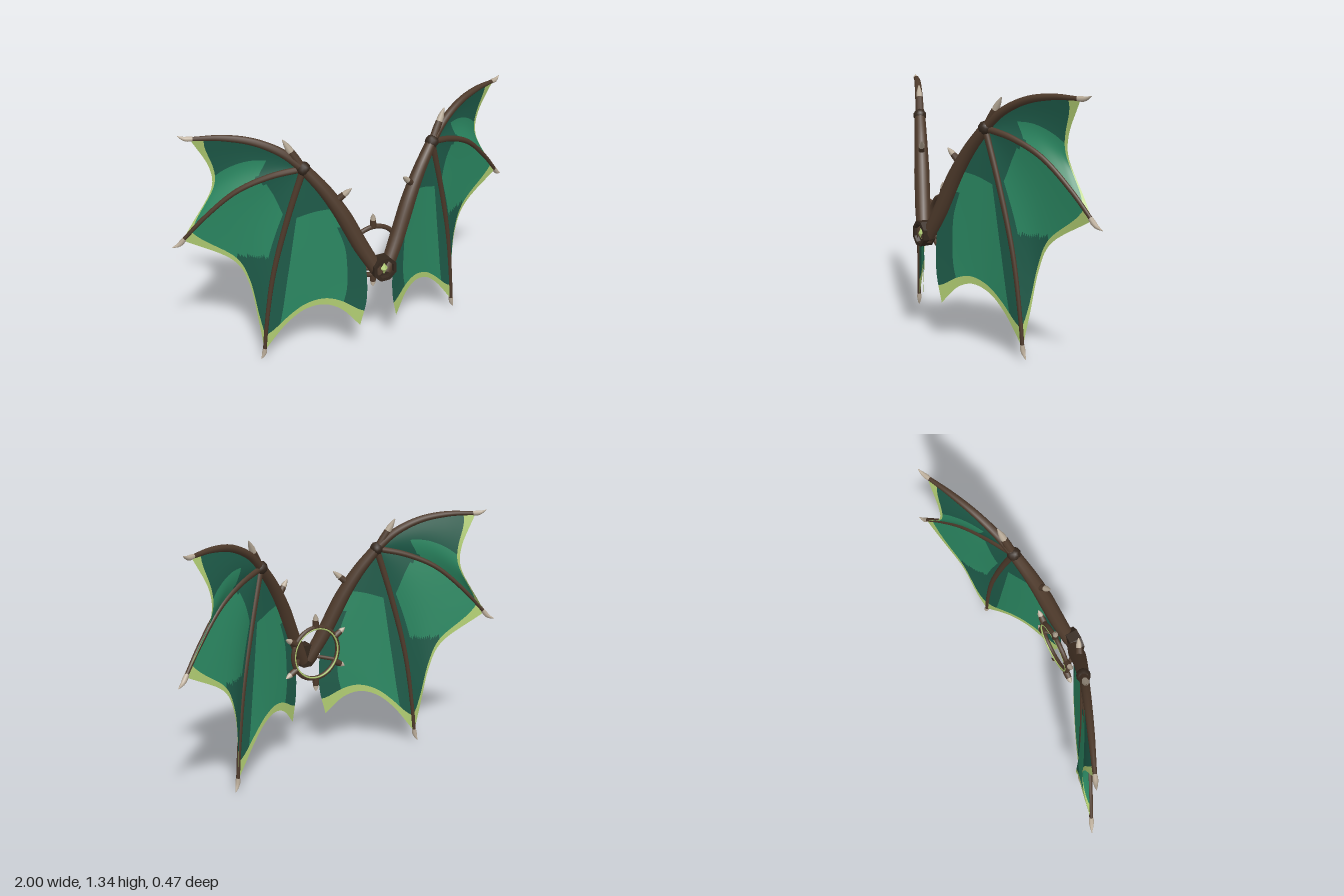
import * as THREE from 'three';

const mat = (name, color, side = THREE.FrontSide) => {
  const m = new THREE.MeshStandardMaterial({ color, side });
  m.name = name;
  return m;
};

// Wings lie on a plane swept back from the shoulders
const sweep = (x) => 0.205 - 0.44 * x;
const curveOf = (pts, s = 1) => new THREE.CatmullRomCurve3(
  pts.map(([x, y, z]) => new THREE.Vector3(s * x, y, z ?? sweep(x))), false, 'centripetal');

// Tube whose radius is interpolated along a list of radii
function taperedTube(curve, radii, segs = 20, sides = 10) {
  const geo = new THREE.TubeGeometry(curve, segs, 1, sides, false);
  const pos = geo.attributes.position, p = new THREE.Vector3();
  for (let i = 0; i <= segs; i++) {
    const c = curve.getPointAt(i / segs);
    const f = (i / segs) * (radii.length - 1), k = Math.min(Math.floor(f), radii.length - 2);
    const r = THREE.MathUtils.lerp(radii[k], radii[k + 1], f - k);
    for (let j = 0; j <= sides; j++) {
      const n = i * (sides + 1) + j;
      p.fromBufferAttribute(pos, n).sub(c).multiplyScalar(r).add(c);
      pos.setXYZ(n, p.x, p.y, p.z);
    }
  }
  return geo;
}

// Bone paths in the wing plane
const WRIST = [0.368, 1.155];
const ARM = [[0.02, 0.54], [0.1, 0.69], [0.2, 0.905], [0.28, 1.04], WRIST];
const FINGERS = [
  [WRIST, [0.46, 1.24], [0.59, 1.305], [0.73, 1.33], [0.875, 1.328]],
  [WRIST, [0.52, 1.115], [0.68, 1.035], [0.84, 0.885], [0.945, 0.76]],
  [WRIST, [0.45, 0.87], [0.53, 0.53], [0.575, 0.2], [0.588, 0.06]],
];
const CLAWS = [
  [[0.86, 1.328], [0.9, 1.33], [0.93, 1.345]],
  [[0.935, 0.77], [0.965, 0.735], [1.0, 0.717]],
  [[0.586, 0.075], [0.592, 0.04], [0.607, 0.002]],
];
const INNER = [WRIST, [0.28, 1.04], [0.2, 0.905], [0.1, 0.69], [0.08, 0.56], [0.078, 0.37], [0.11, 0.21]];

// Membrane panels: two side curves, a scalloped edge, and a rule for the light patches
const PANELS = [
  { name: 'upperMembrane', a: FINGERS[0], b: FINGERS[1], bulge: 0.045, rim: 0.95, flare: 0.07,
    edge: [[0.875, 1.328], [0.785, 1.15], [0.78, 1.04], [0.945, 0.76]],
    light: (u, v) => u > 0.4 && u < 0.95 && v > 0.33 },
  { name: 'middleMembrane', a: FINGERS[1], b: FINGERS[2], bulge: 0.045, rim: 0.955, flare: 0.045,
    edge: [[0.945, 0.76], [0.69, 0.6], [0.63, 0.46], [0.6, 0.22], [0.588, 0.06]],
    light: (u, v, y) => u < 0.82 && v > 0.28 && y > 0.66 },
  { name: 'lowerMembrane', a: FINGERS[2], b: INNER, bulge: 0.02, rim: 0.945, flare: 0.035,
    edge: [[0.588, 0.06], [0.46, 0.23], [0.37, 0.31], [0.28, 0.338], [0.2, 0.31], [0.11, 0.21]],
    light: (u, v) => u > 0.2 && u < (v < 0.4 ? 0.95 : 0.8) && v > 0.27 },
];

function membrane(panel, s, mats) {
  const NU = 30, NV = 40, RIM = 3;
  const a = curveOf(panel.a), b = curveOf(panel.b), e = curveOf(panel.edge);
  const position = [], lists = [[], [], []];
  const A = a.getPointAt(1), B = b.getPointAt(1);
  for (let i = 0; i <= NU; i++) {
    const u = i / NU, out = e.getPointAt(u).sub(A.clone().lerp(B, u));
    const rim = panel.rim - panel.flare * (2 * u - 1) ** 4;
    for (let j = 0; j <= NV; j++) {
      const body = NV - RIM;
      const v = j <= body ? rim * j / body : rim + (1 - rim) * (j - body) / RIM;
      const p = a.getPointAt(v).lerp(b.getPointAt(v), u).addScaledVector(out, v * v);
      position.push(s * p.x, p.y, p.z - panel.bulge * Math.sin(Math.PI * u) * v);
      if (i === NU || j === NV) continue;
      const k = j >= body ? 2 : panel.light(u + 0.5 / NU, v, p.y) ? 1 : 0;
      const n = i * (NV + 1) + j, m = n + NV + 1;
      if (s > 0) lists[k].push(n, n + 1, m, m, n + 1, m + 1);
      else lists[k].push(n, m, n + 1, m, m + 1, n + 1);
    }
  }
  const geo = new THREE.BufferGeometry();
  geo.setAttribute('position', new THREE.Float32BufferAttribute(position, 3));
  geo.setIndex(lists.flat());
  let start = 0;
  lists.forEach((l, k) => { geo.addGroup(start, l.length, k); start += l.length; });
  geo.computeVertexNormals();
  return new THREE.Mesh(geo, mats);
}

export function createModel() {
  const brown = mat('boneBrown', 0x4e3a2b);
  const darkBrown = mat('darkBrown', 0x35281e);
  const horn = mat('hornTan', 0xbcae9b);
  const lime = mat('limeGlow', 0xb0cc72);
  const skins = [
    mat('membraneDark', 0x1e5b49, THREE.DoubleSide),
    mat('membraneLight', 0x2b8862, THREE.DoubleSide),
    mat('membraneRim', 0xb0cc72, THREE.DoubleSide),
  ];
  const model = new THREE.Group();
  model.name = 'wings';
  const add = (parent, name, geo, material) => {
    const m = new THREE.Mesh(geo, material);
    m.name = name;
    parent.add(m);
    return m;
  };
  // Spike with a brown socket and a horn tip
  const spike = (parent, name, from, to, r, s = 1) => {
    const at = (t) => from.map((c, i) => c + (to[i] - c) * t);
    add(parent, name + 'Socket', taperedTube(curveOf([at(0), at(0.55)], s), [r, r, r * 0.9], 4, 8), brown);
    add(parent, name + 'Tip', taperedTube(curveOf([at(0.5), at(1)], s), [r * 0.8, r * 0.85, r * 0.55, 0.002], 8, 8), horn);
  };

  for (const s of [1, -1]) {
    const wing = new THREE.Group();
    wing.name = s > 0 ? 'leftWing' : 'rightWing';
    model.add(wing);

    // Bones and claws
    add(wing, 'arm', taperedTube(curveOf(ARM, s), [0.036, 0.042, 0.042, 0.036, 0.03], 24), brown);
    FINGERS.forEach((f, i) => {
      const r = i === 0 ? 0.025 : 0.018;
      add(wing, 'finger', taperedTube(curveOf(f, s), [r, r * 0.85, r * 0.7, 0.01], 28), brown);
      add(wing, 'claw', taperedTube(curveOf(CLAWS[i], s), [0.012, 0.014, 0.009, 0.001], 10, 8), horn);
    });
    const knob = add(wing, 'wristKnob', new THREE.IcosahedronGeometry(0.037, 1), darkBrown);
    knob.position.set(s * WRIST[0], WRIST[1], sweep(WRIST[0]));

    // Spikes on the wrist and arm
    const flat = (x, y) => [x, y, sweep(x)];
    spike(wing, 'wristSpike', flat(0.38, 1.17), flat(0.46, 1.315), 0.021, s);
    spike(wing, 'armSpike', flat(0.225, 0.965), flat(0.148, 1.038), 0.018, s);

    // Membranes
    for (const p of PANELS) {
      const m = membrane(p, s, skins);
      m.name = p.name;
      wing.add(m);
    }

    // Strut from the hub to the back ring
    add(wing, 'strut', taperedTube(curveOf([[0.045, 0.56, 0.19], [0.13, 0.55, 0.09]], s), [0.011, 0.011], 4, 8), brown);
  }

  // Central hub: an eight-sided open collar with a gem
  const hub = new THREE.Group();
  hub.name = 'hub';
  hub.position.set(0, 0.57, 0.17);
  model.add(hub);
  const collarProfile = [[0, 0], [0.068, 0], [0.07, 0.068], [0.052, 0.068], [0.048, 0.045], [0, 0.045]]
    .map(([x, y]) => new THREE.Vector2(x, y));
  const collarGeo = new THREE.LatheGeometry(collarProfile, 8, Math.PI / 8).toNonIndexed();
  collarGeo.computeVertexNormals();
  add(hub, 'collar', collarGeo, darkBrown).rotation.x = Math.PI / 2;
  const gemGeo = new THREE.OctahedronGeometry(0.03);
  gemGeo.scale(0.8, 1.1, 0.6);
  add(hub, 'gem', gemGeo, lime).position.z = 0.05;

  // Back ring with a lime inlay and six spikes
  const RING = 0.145, cy = 0.612, cz = 0.09;
  add(model, 'backRing', new THREE.TorusGeometry(RING, 0.013, 10, 40), brown).position.set(0, cy, cz);
  add(model, 'ringInlay', new THREE.TorusGeometry(RING - 0.006, 0.005, 6, 40), lime).position.set(0, cy, cz - 0.01);
  for (let i = 0; i < 6; i++) {
    const a = Math.PI / 2 + i * Math.PI / 3;
    const at = (r) => [r * Math.cos(a), cy + r * Math.sin(a), cz];
    spike(model, 'ringSpike', at(RING), at(0.222), 0.018);
  }
  return model;
}
